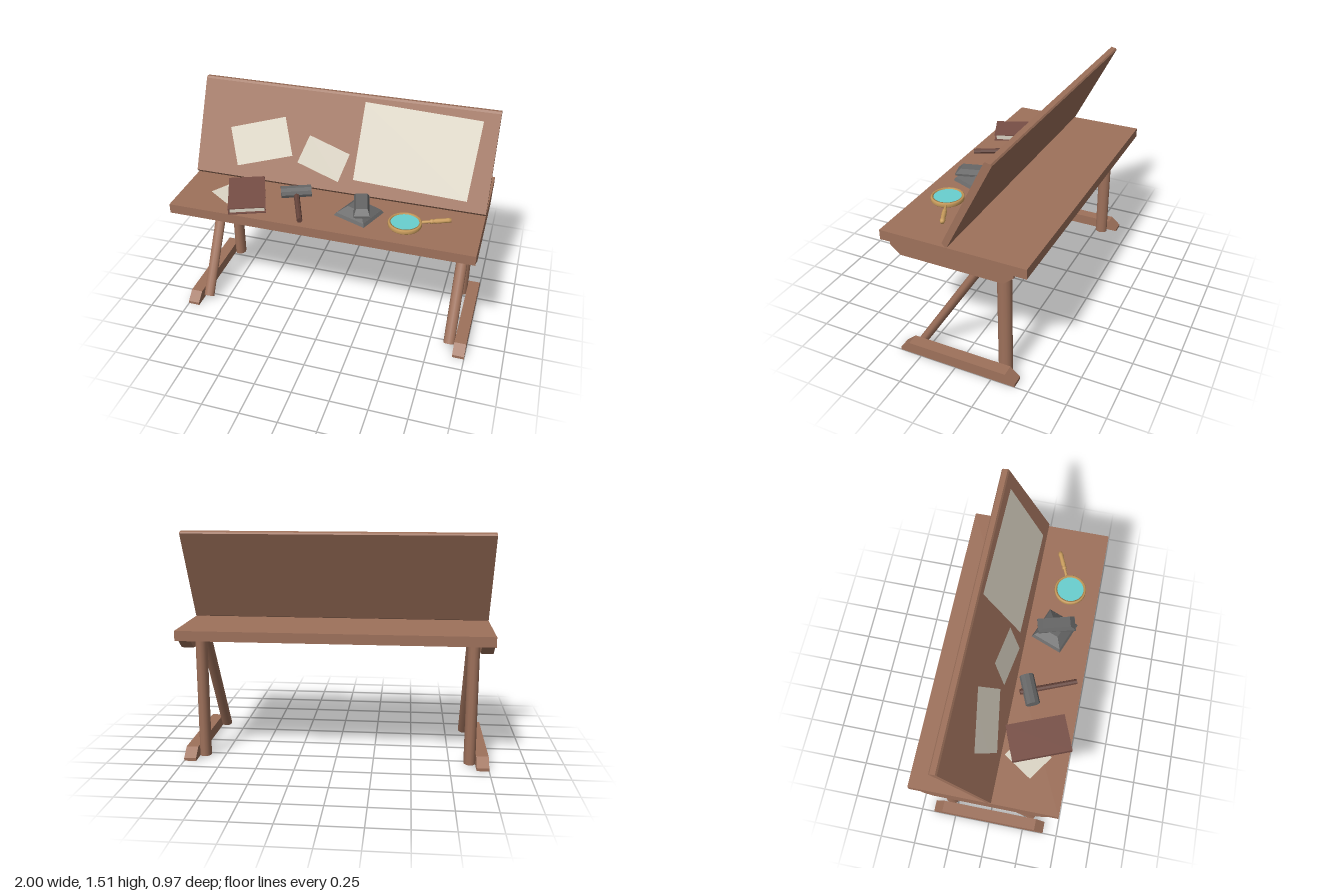
import * as THREE from 'three';

const mat = (name, color) => {
  const m = new THREE.MeshStandardMaterial({ color });
  m.name = name;
  return m;
};

export function createModel() {
  const wood = mat('wood', 0x9e715b);
  const cream = mat('paper', 0xdcd5c5);
  const leather = mat('leather', 0x784f46);
  const darkWood = mat('dark wood', 0x65443b);
  const steel = mat('steel', 0x666666);
  const brass = mat('brass', 0xc99c5c);
  const glass = mat('glass', 0x69cfcf);
  const black = mat('black', 0x0a0a0a);
  cream.side = THREE.DoubleSide;

  const root = new THREE.Group();
  const add = (parent, name, geo, material, x = 0, y = 0, z = 0) => {
    const mesh = new THREE.Mesh(geo, material);
    mesh.name = name;
    mesh.position.set(x, y, z);
    parent.add(mesh);
    return mesh;
  };
  const group = (name, x, y, z, turn) => {
    const g = new THREE.Group();
    g.name = name;
    g.position.set(x, y, z);
    g.rotation.y = turn;
    root.add(g);
    return g;
  };
  const box = (w, h, d) => new THREE.BoxGeometry(w, h, d);
  const flat = (geo) => {
    const g = geo.toNonIndexed();
    g.computeVertexNormals();
    return g;
  };
  // Extrude a (z, y) outline along x, from x0 to x1
  const alongX = (points, x0, x1) => {
    const shape = new THREE.Shape(points.map(([z, y]) => new THREE.Vector2(z, y)));
    return new THREE.ExtrudeGeometry(shape, { depth: x1 - x0, bevelEnabled: false })
      .rotateY(-Math.PI / 2).translate(x1, 0, 0);
  };
  // Four-sided block whose top is smaller than its base
  const taper = (w, d, h, ratio) => flat(
    new THREE.CylinderGeometry(ratio * Math.SQRT1_2, Math.SQRT1_2, h, 4).rotateY(Math.PI / 4).scale(w, 1, d));
  // Flat sheet from four corners
  const sheet = (name, corners) => {
    const g = new THREE.BufferGeometry();
    g.setAttribute('position', new THREE.Float32BufferAttribute(corners.flat(), 3));
    g.setIndex([0, 1, 2, 0, 2, 3]);
    g.computeVertexNormals();
    add(root, name, g, cream);
  };

  // Table top and leaning board
  add(root, 'tableTop', box(2, 0.065, 0.96), wood, 0, 0.867, -0.01);
  add(root, 'leaningBoard', alongX([[0.044, 0.925], [0.02, 0.9], [0.01, 0.905], [-0.29, 1.49],
    [-0.283, 1.5], [-0.25, 1.507], [-0.24, 1.495]], -1, 1), wood);

  // Trestles: chamfered rails, post and slanted brace on each side
  const foot = [[-0.41, 0], [-0.41, 0.02], [-0.345, 0.076], [0.335, 0.076], [0.4, 0.02], [0.4, 0]];
  const rail = foot.map(([z, y]) => [z, 0.836 - y]);
  const low = new THREE.Vector3(0, 0.025, 0.303);
  const high = new THREE.Vector3(0, 0.825, -0.198);
  for (const [side, s] of [['left', 1], ['right', -1]]) {
    const x0 = s > 0 ? 0.92 : -1;
    add(root, side + 'Foot', alongX(foot, x0, x0 + 0.08), wood);
    add(root, side + 'Rail', alongX(rail, x0, x0 + 0.08), wood);
    add(root, side + 'Post', new THREE.CylinderGeometry(0.046, 0.046, 0.83, 12).scale(0.84, 1, 1),
      wood, s * 0.882, 0.423, -0.295);
    const brace = add(root, side + 'Brace',
      new THREE.CylinderGeometry(0.028, 0.028, low.distanceTo(high), 12).scale(1.35, 1, 1), wood);
    brace.position.addVectors(low, high).multiplyScalar(0.5).setX(s * 0.882);
    brace.rotation.x = Math.atan2(high.z - low.z, high.y - low.y);
  }

  // Sheets on the board and on the table
  sheet('largeSheet', [[0.13, 1.47, -0.225], [0.115, 1.01, 0.008], [0.87, 0.985, 0.021], [0.9, 1.445, -0.212]]);
  sheet('middleSheet', [[-0.21, 1.245, -0.088], [-0.28, 1.065, -0.018], [0.015, 0.985, 0.023], [0.075, 1.165, -0.05]]);
  sheet('leftSheet', [[-0.4, 1.325, -0.148], [-0.78, 1.22, -0.093], [-0.7, 0.995, 0.022], [-0.32, 1.1, -0.034]]);
  sheet('tableSheet', [[-0.68, 0.903, 0.065], [-0.8, 0.903, 0.25], [-0.64, 0.903, 0.36], [-0.52, 0.903, 0.175]]);

  // Book
  const book = group('book', -0.54, 0.9, 0.257, 0.385);
  for (const [name, y] of [['backCover', 0.007], ['frontCover', 0.046]])
    add(book, name, box(0.24, 0.006, 0.385), leather, 0, y, 0);
  add(book, 'spine', box(0.008, 0.045, 0.385), leather, -0.116, 0.0265, 0);
  add(book, 'pages', box(0.222, 0.036, 0.355), cream, 0, 0.0265, 0);

  // Mallet
  const mallet = group('mallet', -0.237, 0.9, 0.14, 0.4);
  add(mallet, 'malletHead', flat(new THREE.CylinderGeometry(0.045, 0.045, 0.2, 10)
    .rotateZ(Math.PI / 2).scale(1, 0.86, 1.05)), steel, 0, 0.038, 0);
  const handle = add(mallet, 'malletHandle', flat(new THREE.CylinderGeometry(0.018, 0.02, 0.38, 8)
    .rotateX(Math.PI / 2)), darkWood, 0, 0.025, 0.125);
  handle.rotation.x = 0.04;

  // Small anvil: flared base, waist and chamfered bar
  const base = group('anvilBase', 0.217, 0.9, 0.225, -0.37);
  add(base, 'basePlate', taper(0.235, 0.22, 0.02, 0.9), steel, 0, 0.01, 0);
  add(base, 'baseFlare', taper(0.21, 0.2, 0.045, 0.5), steel, 0, 0.0425, 0);
  const bar = group('anvilTop', 0.235, 0.9, 0.23, 0.27);
  add(bar, 'anvilBarLower', box(0.1, 0.014, 0.25), steel, 0, 0.063, 0);
  add(bar, 'anvilBarUpper', taper(0.1, 0.25, 0.034, 0.72), steel, 0, 0.086, 0);

  // Magnifying glass
  const magnifier = group('magnifier', 0.527, 0.9, 0.275, 0.41);
  const ring = [[0.09, 0.004], [0.102, 0.004], [0.107, 0.01], [0.107, 0.028], [0.102, 0.034], [0.09, 0.034], [0.09, 0.004]];
  add(magnifier, 'lensRing', new THREE.LatheGeometry(ring.map(([r, y]) => new THREE.Vector2(r, y)), 32), brass);
  add(magnifier, 'lens', new THREE.CylinderGeometry(0.091, 0.091, 0.008, 32), glass, 0, 0.024, 0);
  const grip = [[0, 0], [0.009, 0], [0.009, 0.06], [0.015, 0.065], [0.015, 0.078], [0.011, 0.084],
    [0.016, 0.095], [0.014, 0.16], [0.017, 0.175], [0.013, 0.195], [0, 0.198]];
  add(magnifier, 'magnifierHandle', new THREE.LatheGeometry(grip.map(([r, y]) => new THREE.Vector2(r, y)), 12)
    .rotateZ(-Math.PI / 2), brass, 0.1, 0.019, 0);

  // Dark panel under the table top
  add(root, 'undersidePanel', box(0.24, 0.004, 0.37), black, 0, 0.8335, 0.25);
  add(root, 'undersidePatch', box(0.14, 0.002, 0.07), cream, 0.02, 0.831, 0.105);
  return root;
}
